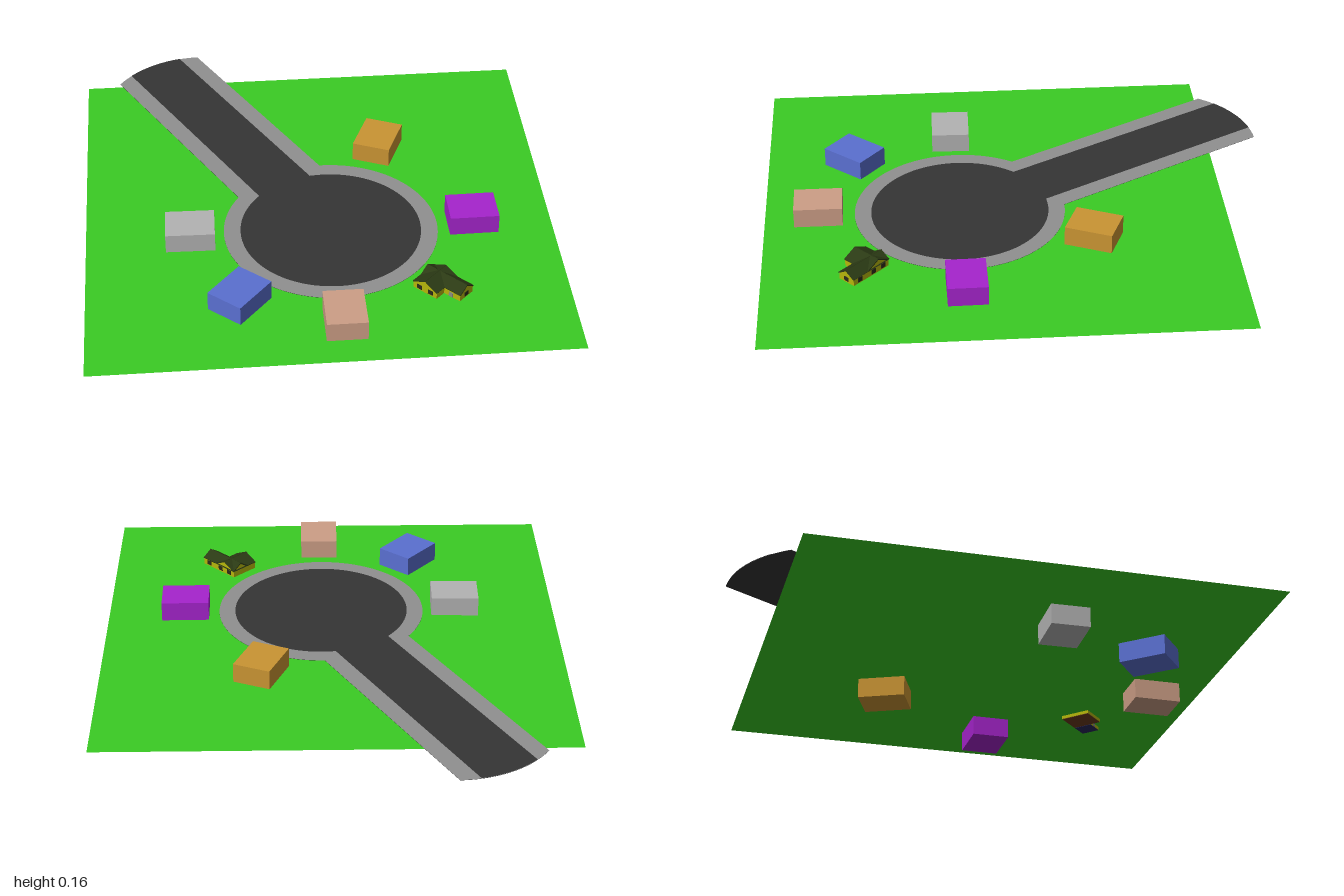
import * as THREE from 'three';

const GROUND = 0.08;
const mat = (color) => new THREE.MeshStandardMaterial({ color, side: THREE.DoubleSide, flatShading: true });

function add(parent, name, geometry, material) {
  const mesh = new THREE.Mesh(geometry, material);
  mesh.name = name;
  parent.add(mesh);
  return mesh;
}

// Outline of a round turning area (radius r) joined to a straight lane along +y
// with half width w; the far end of the lane is an arc of radius endR.
function laneOutline(r, w, endCentre, endR) {
  const shape = new THREE.Shape();
  const a = Math.asin(w / r), b = Math.asin(w / endR);
  shape.absarc(0, 0, r, Math.PI / 2 + a, Math.PI * 2.5 - a, false);
  shape.absarc(0, endCentre, endR, Math.PI / 2 - b, Math.PI / 2 + b, false);
  shape.closePath();
  return shape;
}

// Gabled block: ridge along local x, standing on y = 0
function gable(parent, name, length, width, eave, ridge, wall, roof) {
  const g = new THREE.Group();
  g.name = name;
  const h = width / 2;
  const profile = new THREE.Shape([
    new THREE.Vector2(-h, 0), new THREE.Vector2(h, 0), new THREE.Vector2(h, eave),
    new THREE.Vector2(0, ridge), new THREE.Vector2(-h, eave),
  ]);
  const walls = new THREE.ExtrudeGeometry(profile, { depth: length, bevelEnabled: false });
  walls.translate(0, 0, -length / 2).rotateY(Math.PI / 2);
  add(g, 'walls', walls, wall);
  const slope = Math.atan2(ridge - eave, h);
  const slab = Math.hypot(h, ridge - eave) + 0.004;
  for (const s of [-1, 1]) {
    const panel = add(g, 'roofSlope', new THREE.BoxGeometry(length + 0.004, 0.004, slab), roof);
    panel.position.set(0, (eave + ridge) / 2 + 0.001, s * h / 2);
    panel.rotation.x = s * slope;
  }
  parent.add(g);
  return g;
}

function buildHouse() {
  const house = new THREE.Group();
  house.name = 'detailedHouse';
  const wall = mat(0xb5b50a), roof = mat(0x2b3a14), dark = mat(0x2a2a18);

  // Long main body and the deeper cross wing
  const main = gable(house, 'mainBody', 0.181, 0.076, 0.04, 0.064, wall, roof);
  main.position.set(0.0915, 0, 0.039);
  const wing = gable(house, 'wing', 0.121, 0.108, 0.04, 0.066, wall, roof);
  wing.position.set(0.055, 0, 0.0615);
  wing.rotation.y = Math.PI / 2;

  // Windows: rear wall, wing front and end wall; door beside the wing
  for (const x of [0.03, 0.08, 0.15]) {
    add(house, 'rearWindow', new THREE.BoxGeometry(0.022, 0.018, 0.003), dark).position.set(x, 0.028, 0);
  }
  for (const x of [0.03, 0.08]) {
    add(house, 'frontWindow', new THREE.BoxGeometry(0.022, 0.018, 0.003), dark).position.set(x, 0.028, 0.1225);
  }
  add(house, 'endWindow', new THREE.BoxGeometry(0.003, 0.018, 0.022), dark).position.set(0.182, 0.028, 0.039);
  add(house, 'door', new THREE.BoxGeometry(0.018, 0.032, 0.003), mat(0x8c8c80)).position.set(0.14, 0.017, 0.077);

  // Floors
  add(house, 'mainFloor', new THREE.BoxGeometry(0.07, 0.002, 0.074), mat(0x28285a)).position.set(0.146, -0.001, 0.039);
  add(house, 'wingFloor', new THREE.BoxGeometry(0.106, 0.002, 0.119), mat(0x6a3a1c)).position.set(0.055, -0.001, 0.0615);

  house.position.set(0.398, 0.067, 0.524);
  house.rotation.y = -0.795;
  return house;
}

export function createModel() {
  const model = new THREE.Group();
  model.name = 'culDeSac';

  // Lawn
  const lawn = add(model, 'lawn', new THREE.PlaneGeometry(1.785, 1.795).rotateX(-Math.PI / 2), mat(0x3acb24));
  lawn.position.set(-0.004, GROUND, 0.1025);

  // Street: dark bed under a pavement border, with the road surface inside it
  const street = new THREE.Group();
  street.name = 'street';
  const outer = laneOutline(0.41, 0.19, 0.95, 0.41);
  const inner = laneOutline(0.346, 0.119, 0.95, 0.41);
  const layers = [
    ['roadBed', outer, 0x353535], ['pavement', outer, 0x909090], ['roadSurface', inner, 0x353535],
  ];
  layers.forEach(([name, shape, color], i) => {
    const geometry = new THREE.ShapeGeometry(shape, 40).rotateX(-Math.PI / 2);
    add(street, name, geometry, mat(color)).position.y = 0.0012 * (i + 1);
  });
  street.position.set(0.038, GROUND, 0.243);
  street.rotation.y = 0.505;
  model.add(street);

  // Plain block houses around the circle: name, color, x, z, turn of the long side
  const blocks = [
    ['greyHouse', 0xb2b2b2, -0.5, 0.26, -0.02],
    ['blueHouse', 0x5a6fd0, -0.332, 0.652, 0.865],
    ['peachHouse', 0xcc9e86, 0.041, 0.792, Math.PI / 2],
    ['orangeHouse', 0xc99433, 0.272, -0.259, 1.17],
    ['purpleHouse', 0xa524cc, 0.582, 0.24, 0.01],
  ];
  for (const [name, color, x, z, turn] of blocks) {
    const block = add(model, name, new THREE.BoxGeometry(0.187, 0.157, 0.15), mat(color));
    block.position.set(x, 0.0785, z);
    block.rotation.y = turn;
  }

  model.add(buildHouse());
  return model;
}
